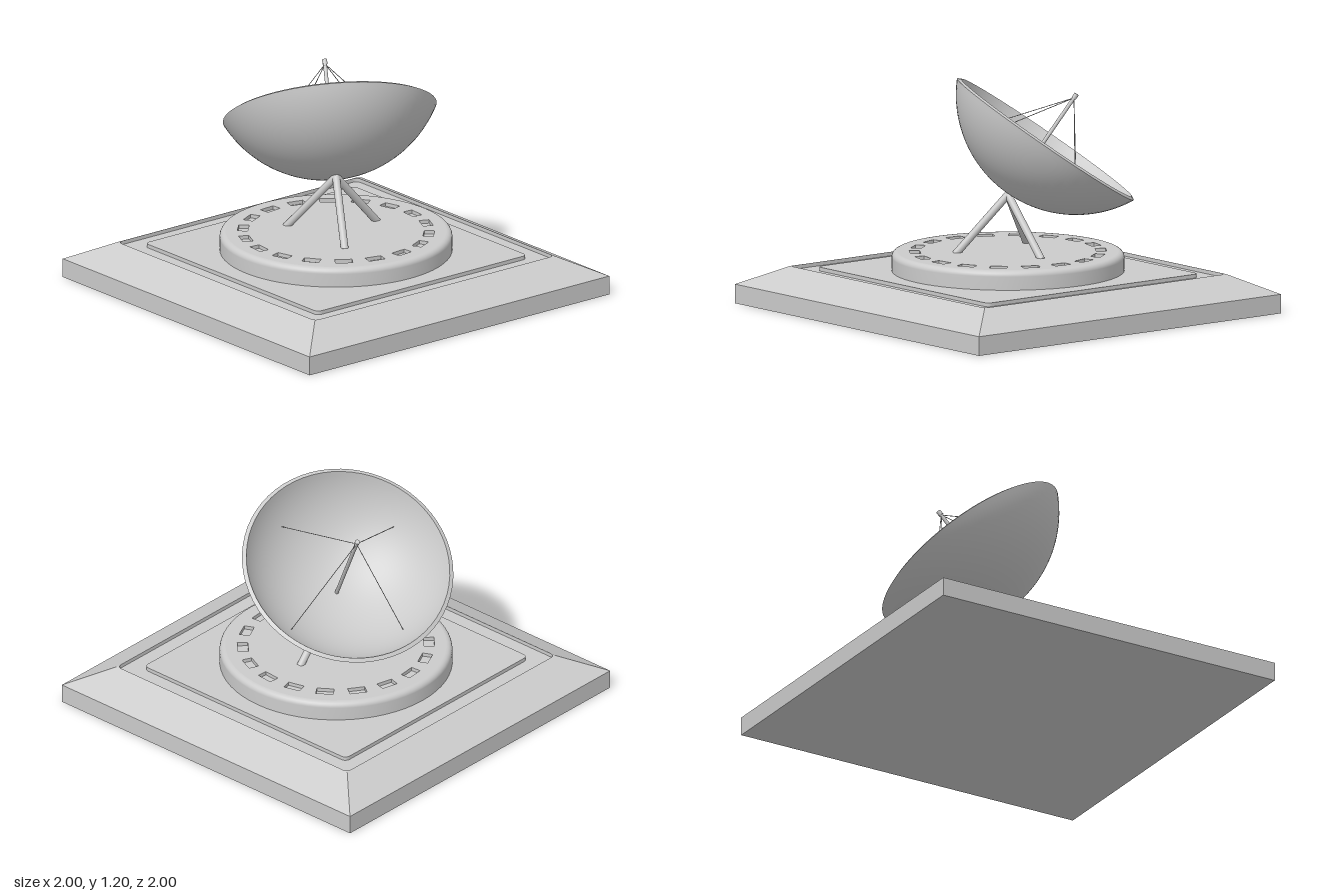
import * as THREE from 'three';

const mat = new THREE.MeshStandardMaterial({ color: 0xcccccc, side: THREE.DoubleSide });
const flatMat = new THREE.MeshStandardMaterial({ color: 0xcccccc, flatShading: true });
const deg = THREE.MathUtils.degToRad;
const V2 = (x, y) => new THREE.Vector2(x, y);
const V3 = (x, y, z) => new THREE.Vector3(x, y, z);

function add(parent, name, geometry, y = 0, material = mat) {
  const mesh = new THREE.Mesh(geometry, material);
  mesh.name = name;
  mesh.position.y = y;
  parent.add(mesh);
  return mesh;
}

// Round rod between two points
function rod(parent, name, a, b, radius, sides = 16) {
  const dir = b.clone().sub(a);
  const mesh = add(parent, name, new THREE.CylinderGeometry(radius, radius, dir.length(), sides));
  mesh.position.copy(a).add(b).multiplyScalar(0.5);
  mesh.quaternion.setFromUnitVectors(V3(0, 1, 0), dir.normalize());
  return mesh;
}

// Square outline with rounded corners
function roundedSquare(h, r) {
  const s = new THREE.Shape();
  [[1, -1, -90], [1, 1, 0], [-1, 1, 90], [-1, -1, 180]].forEach(([x, y, a]) =>
    s.absarc(x * (h - r), y * (h - r), r, deg(a), deg(a + 90), false));
  return s.closePath();
}

// Outline extruded upwards
function slab(shape, depth, curveSegments = 12) {
  return new THREE.ExtrudeGeometry(shape, { depth, bevelEnabled: false, curveSegments }).rotateX(-Math.PI / 2);
}

function createBase() {
  const base = new THREE.Group();
  base.name = 'base';
  add(base, 'plinth', new THREE.BoxGeometry(2, 0.1, 2), 0.05, flatMat);
  add(base, 'slope', new THREE.CylinderGeometry(0.8 * Math.SQRT2, Math.SQRT2, 0.1, 4, 1, true)
    .rotateY(Math.PI / 4), 0.15, flatMat);

  // Sunken channel around a raised platform
  add(base, 'channelFloor', new THREE.PlaneGeometry(1.6, 1.6).rotateX(-Math.PI / 2), 0.18);
  const lip = new THREE.Shape([V2(-0.8, -0.8), V2(0.8, -0.8), V2(0.8, 0.8), V2(-0.8, 0.8)]);
  lip.holes.push(roundedSquare(0.798, 0.03));
  add(base, 'channelLip', slab(lip, 0.02), 0.18);
  add(base, 'platform', slab(roundedSquare(0.7, 0.03), 0.02), 0.18);
  return base;
}

function createTurntable() {
  const table = new THREE.Group();
  table.name = 'turntable';

  // Side wall with a rounded upper edge
  const profile = [V2(0.6, 0.2)];
  for (let i = 0; i <= 6; i++) {
    const a = deg(i * 15);
    profile.push(V2(0.57 + 0.03 * Math.cos(a), 0.27 + 0.03 * Math.sin(a)));
  }
  add(table, 'turntableWall', new THREE.LatheGeometry(profile, 64));

  // Top plate with a ring of slots
  const top = new THREE.Shape().absarc(0, 0, 0.57, 0, Math.PI * 2, false);
  for (let i = 0; i < 18; i++) {
    const a = -deg(14.7 + i * 20);
    const corners = [[0.453, -0.045], [0.453, 0.045], [0.507, 0.045], [0.507, -0.045]];
    top.holes.push(new THREE.Path(corners.map(([r, t]) =>
      V2(r, t).rotateAround(V2(0, 0), a))));
  }
  add(table, 'slottedTop', slab(top, 0.02, 32), 0.28);
  add(table, 'slotFloor', new THREE.CircleGeometry(0.57, 64).rotateX(-Math.PI / 2), 0.281);
  return table;
}

function createTripod() {
  const tripod = new THREE.Group();
  tripod.name = 'tripod';
  const apex = V3(0, 0.595, 0);
  for (const a of [30, 150, 270]) {
    const foot = V3(0.275 * Math.cos(deg(a)), 0.29, 0.275 * Math.sin(deg(a)));
    rod(tripod, 'leg', foot, apex, 0.02);
  }
  add(tripod, 'pivot', new THREE.SphereGeometry(0.02, 16, 12), 0.595);
  return tripod;
}

function createDish() {
  // Local y is the dish axis and the origin is the back of the bowl
  const dish = new THREE.Group();
  dish.name = 'dish';
  dish.position.y = 0.6;
  dish.rotation.set(deg(-35), deg(60), 0, 'YXZ');

  const focus = 0.62, inner = 0.597, edge = deg(63.2);
  const onSphere = (r, a) => V2(r * Math.sin(a), focus - r * Math.cos(a));
  const arc = r => Array.from({ length: 25 }, (_, i) => onSphere(r, edge * i / 24));
  add(dish, 'dishBack', new THREE.LatheGeometry(arc(focus), 64));
  add(dish, 'dishFace', new THREE.LatheGeometry(arc(inner).reverse(), 64));
  add(dish, 'dishRim', new THREE.LatheGeometry([onSphere(focus, edge), onSphere(inner, edge)], 64));

  // Feed mast and its stay wires
  rod(dish, 'feedMast', V3(0, 0.01, 0), V3(0, 0.61, 0), 0.01);
  add(dish, 'feedTip', new THREE.CylinderGeometry(0.013, 0.013, 0.025, 16), 0.612);
  const r = 0.415, depth = focus - Math.sqrt(inner * inner - r * r);
  for (let i = 0; i < 4; i++) {
    const a = deg(-35 + i * 90);
    rod(dish, 'stayWire', V3(0, 0.6, 0), V3(r * Math.cos(a), depth, r * Math.sin(a)), 0.002, 6);
  }
  return dish;
}

export function createModel() {
  const model = new THREE.Group();
  model.name = 'dishAntenna';
  model.add(createBase(), createTurntable(), createTripod(), createDish());
  return model;
}
